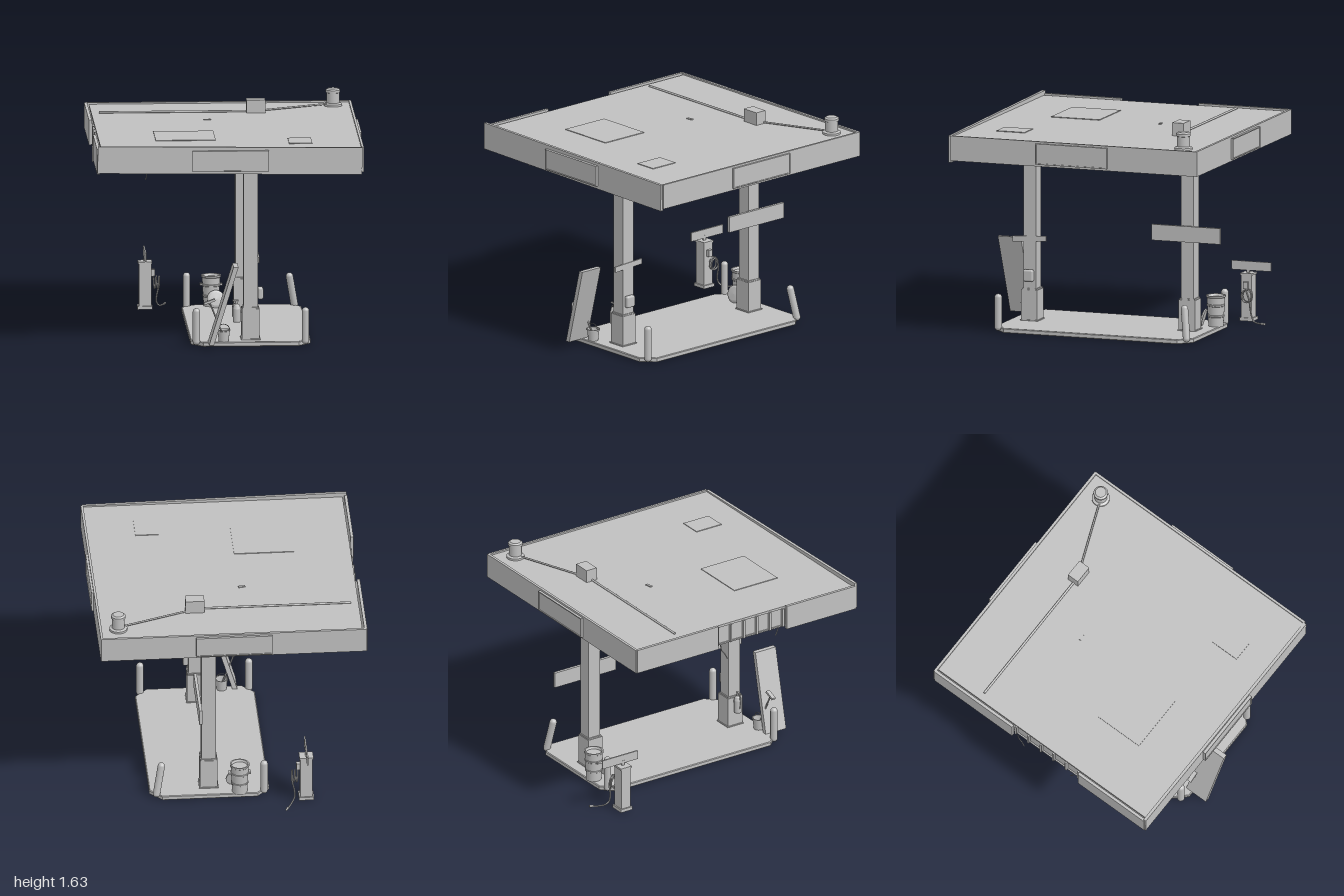
import * as THREE from 'three';
import { RoundedBoxGeometry } from 'three/addons/geometries/RoundedBoxGeometry.js';

export function createModel() {
  const model = new THREE.Group();
  const grey = new THREE.MeshStandardMaterial({ color: 0xc0c0c0 });
  grey.name = 'plain grey';
  const V = (x, y, z) => new THREE.Vector3(x, y, z);

  function add(name, geometry, x = 0, y = 0, z = 0, parent = model) {
    const mesh = new THREE.Mesh(geometry, grey);
    mesh.name = name;
    mesh.position.set(x, y, z);
    parent.add(mesh);
    return mesh;
  }
  // Box given by its limits on each axis
  const block = (name, x0, x1, y0, y1, z0, z1) => add(name,
    new THREE.BoxGeometry(x1 - x0, y1 - y0, z1 - z0), (x0 + x1) / 2, (y0 + y1) / 2, (z0 + z1) / 2);
  // Solid of revolution from [radius, height] pairs; steps stay sharp
  function turned(name, profile, x, y, z, sides = 24) {
    const g = new THREE.Group();
    g.name = name;
    g.position.set(x, y, z);
    for (let i = 0; i < profile.length - 1; i++) {
      const pts = [profile[i], profile[i + 1]].map(p => new THREE.Vector2(...p));
      add(name + 'Section', new THREE.LatheGeometry(pts, sides), 0, 0, 0, g);
    }
    model.add(g);
    return g;
  }
  const tube = (name, points, radius, segments = 24) => add(name,
    new THREE.TubeGeometry(new THREE.CatmullRomCurve3(points.map(p => V(...p))), segments, radius, 6));
  // Straight round rod between two points
  function rod(name, a, b, radius) {
    const p = V(...a), q = V(...b), d = q.clone().sub(p);
    const m = add(name, new THREE.CylinderGeometry(radius, radius, d.length(), 10));
    m.position.copy(p).add(q).multiplyScalar(0.5);
    m.quaternion.setFromUnitVectors(V(0, 1, 0), d.normalize());
    return m;
  }

  // Island slab with cut corners
  const island = new THREE.Shape();
  [[-0.29, -0.68], [-0.2, -0.775], [0.5, -0.775], [0.59, -0.68], [0.59, 0.68], [0.5, 0.775], [-0.2, 0.775], [-0.29, 0.68]]
    .forEach(([x, z], i) => (i ? island.lineTo(x, z) : island.moveTo(x, z)));
  const slab = new THREE.ExtrudeGeometry(island, { depth: 0.024, bevelEnabled: true, bevelSize: 0.006, bevelThickness: 0.005, bevelOffset: -0.006, bevelSegments: 1 });
  slab.rotateX(Math.PI / 2);
  add('islandSlab', slab, 0, 0.034, 0);

  // Columns with plinths
  for (const z of [0.62, -0.615]) {
    block('column', 0.1, 0.205, 0.04, 1.345, z - 0.05, z + 0.05);
    block('plinth', 0.087, 0.216, 0.04, 0.268, z - 0.063, z + 0.063);
    block('plinthCap', 0.092, 0.211, 0.268, 0.278, z - 0.058, z + 0.058);
    block('plinthFoot', 0.08, 0.223, 0.036, 0.046, z - 0.07, z + 0.07);
  }

  // Bollards, one knocked askew
  for (const [x, z] of [[-0.25, 0.735], [-0.25, -0.735], [0.55, 0.735], [0.55, -0.735]]) {
    const bollard = add('bollard', new THREE.CapsuleGeometry(0.027, 0.22, 8, 20), x, 0.15, z);
    if (x > 0 && z < 0) {
      bollard.position.set(0.522, 0.15, -0.722);
      bollard.rotation.set(0.14, 0, 0.17);
    }
  }

  // Canopy: roof deck, ceiling and inner walls
  block('roofDeck', -0.955, 0.955, 1.485, 1.503, -0.965, 0.965);
  block('ceiling', -0.955, 0.955, 1.342, 1.352, -0.965, 0.965);
  block('innerWall', -0.945, -0.935, 1.352, 1.485, -0.95, 0.95);

  // Fascias, with a gap on one side and the front one sagging
  block('backFascia', -0.985, 0.965, 1.33, 1.515, -0.98, -0.96);
  block('leftFascia', 0.95, 0.968, 1.33, 1.515, -0.97, 0.955);
  block('rightFascia', -0.99, -0.968, 1.33, 1.515, -0.97, -0.255);
  block('rightFascia', -0.99, -0.968, 1.33, 1.515, 0.35, 0.96);
  block('frontFascia', -0.985, 0.955, 1.325, 1.525, 0.95, 0.972).rotation.z = -0.0125;
  for (let i = 0; i < 6; i++) {
    const z = -0.24 + i * 0.115;
    block('stud', -0.968, -0.945, 1.345, 1.49, z - 0.007, z + 0.007);
  }

  // Framed sign panels on three sides
  for (const [x, z, turn] of [[-0.012, 0.975, 0], [-0.012, -0.98, Math.PI], [0.965, 0, Math.PI / 2]]) {
    const sign = new THREE.Group();
    sign.name = 'signPanel';
    sign.position.set(x, 1.423, z);
    sign.rotation.y = turn;
    add('signFace', new THREE.BoxGeometry(0.56, 0.155, 0.026), 0, 0, 0, sign);
    for (const s of [-1, 1]) {
      add('signFrame', new THREE.BoxGeometry(0.56, 0.008, 0.014), 0, s * 0.0735, 0.012, sign);
      add('signFrame', new THREE.BoxGeometry(0.008, 0.155, 0.014), s * 0.276, 0, 0.012, sign);
    }
    model.add(sign);
  }

  // Ceiling beams and crossed light fixtures
  for (const z of [0.62, -0.615]) block('ceilingBeam', -0.93, 0.93, 1.325, 1.343, z - 0.02, z + 0.02);
  block('ceilingBeam', 0.13, 0.175, 1.325, 1.343, -0.6, 0.6);
  for (const [x, z] of [[0.65, -0.63], [0.65, 0], [0.65, 0.61], [-0.62, 0.02], [-0.62, -0.6]]) {
    block('lightFixture', x - 0.038, x + 0.038, 1.307, 1.342, z - 0.21, z + 0.21);
    block('fixtureArm', x - 0.15, x + 0.15, 1.325, 1.342, z - 0.04, z + 0.04);
  }

  // Loose wires
  tube('looseWire', [[-0.965, 1.35, -0.22], [-0.965, 1.3, -0.21], [-0.965, 1.26, -0.18], [-0.967, 1.22, -0.16]], 0.004);
  tube('looseWire', [[-0.965, 1.35, 0.29], [-0.965, 1.32, 0.28], [-0.965, 1.29, 0.265]], 0.004);
  tube('looseWire', [[-0.63, 1.345, 0.85], [-0.62, 1.3, 0.855], [-0.63, 1.265, 0.845]], 0.004);

  // Roof patches, junction box, conduit and vent
  block('roofPatch', -0.54, -0.1, 1.5, 1.508, 0.19, 0.57);
  block('roofPatch', 0.43, 0.6, 1.5, 1.508, 0.51, 0.73);
  block('roofScrap', -0.145, -0.095, 1.5, 1.509, -0.29, -0.27).rotation.y = 0.2;
  block('junctionBox', 0.18, 0.318, 1.503, 1.6, -0.63, -0.54);
  rod('conduit', [-0.9, 1.512, -0.58], [0.2, 1.512, -0.58], 0.008);
  rod('conduit', [0.29, 1.512, -0.605], [0.79, 1.52, -0.805], 0.007);
  turned('roofVent', [[0.066, 0], [0.066, 0.018], [0.047, 0.026], [0.047, 0.1], [0.053, 0.103], [0.053, 0.122], [0.04, 0.132], [0, 0.132]],
    0.828, 1.5, -0.822, 24);

  // Boards and switch box on the columns
  block('columnBoard', 0.216, 0.238, 0.702, 0.82, -0.885, -0.348);
  block('boardBracket', 0.2, 0.218, 0.745, 0.78, -0.64, -0.59);
  block('crookedBoard', 0.2, 0.212, 0.627, 0.668, 0.49, 0.752).rotation.x = 0.05;
  add('switchBox', new RoundedBoxGeometry(0.04, 0.088, 0.078, 3, 0.014), 0.225, 0.376, 0.622);

  // Extinguisher hung on the front column
  turned('extinguisher', [[0, 0], [0.026, 0], [0.03, 0.01], [0.03, 0.1], [0.022, 0.125], [0.01, 0.135], [0.01, 0.16], [0, 0.16]], 0.052, 0.16, 0.62, 18);
  block('extinguisherHandle', 0.02, 0.065, 0.315, 0.325, 0.613, 0.627);
  block('extinguisherBracket', 0.07, 0.102, 0.23, 0.25, 0.605, 0.635);
  tube('extinguisherHose', [[0.045, 0.305, 0.62], [0.025, 0.29, 0.62], [0.02, 0.24, 0.62], [0.022, 0.2, 0.62]], 0.004, 14);

  // Leaning board beside the island
  const lean = new THREE.BoxGeometry(0.036, 0.585, 0.18);
  lean.applyMatrix4(new THREE.Matrix4().set(1, 0.305, 0, 0, 0, 1, 0, 0, 0, 0.05, 1, 0, 0, 0, 0, 1));
  add('leaningBoard', lean, -0.058, 0.33, 0.825);

  // Bucket with a squeegee standing in it
  const bucket = turned('bucket', [[0, 0], [0.036, 0], [0.045, 0.08], [0.049, 0.082], [0.049, 0.09], [0.042, 0.09], [0.034, 0.012], [0, 0.012]], -0.05, 0.036, 0.735, 20);
  bucket.children.forEach(m => { m.name = 'bucketSide'; });
  add('bucketHandle', new THREE.TorusGeometry(0.044, 0.003, 6, 20, Math.PI), -0.05, 0.122, 0.735);
  rod('squeegeeStick', [-0.045, 0.06, 0.735], [-0.155, 0.335, 0.77], 0.006);
  block('squeegeeHead', -0.198, -0.112, 0.332, 0.349, 0.755, 0.785).rotation.z = 0.36;

  // Ribbed bin with its lid leaning on it
  turned('bin', [[0, 0], [0.056, 0], [0.058, 0.07], [0.064, 0.074], [0.064, 0.084], [0.06, 0.088], [0.063, 0.15], [0.068, 0.154], [0.068, 0.164],
    [0.064, 0.168], [0.066, 0.215], [0.072, 0.22], [0.072, 0.232], [0.062, 0.232], [0.055, 0.215], [0, 0.215]], -0.07, 0.036, -0.735, 28);
  for (const s of [-1, 1]) block('binHandle', -0.07 + s * 0.074 - 0.008, -0.07 + s * 0.074 + 0.008, 0.19, 0.205, -0.755, -0.715);
  const lid = turned('binLid', [[0, 0], [0.066, 0], [0.066, 0.01], [0.05, 0.018], [0, 0.022]], -0.04, 0.1, -0.655, 28);
  lid.rotation.set(1.3, 0, -0.15);

  // Air pump post with a board on top
  block('pumpBody', -0.598, -0.507, 0.03, 0.35, -0.848, -0.765);
  block('pumpFoot', -0.608, -0.497, 0.008, 0.032, -0.858, -0.755);
  block('pumpCap', -0.604, -0.501, 0.348, 0.362, -0.854, -0.759);
  block('pumpBoardPost', -0.56, -0.545, 0.36, 0.4, -0.815, -0.795);
  block('pumpBoard', -0.557, -0.546, 0.378, 0.445, -0.985, -0.675);
  block('hoseHook', -0.508, -0.48, 0.25, 0.3, -0.825, -0.79);

  // Coiled hose trailing to the ground
  const coil = [];
  for (let i = 0; i <= 24; i++) {
    const a = Math.PI / 2 + i * Math.PI / 6;
    coil.push([-0.49 + i * 0.0018, 0.2 + 0.046 * Math.sin(a), -0.825 + 0.036 * Math.cos(a)]);
  }
  tube('hoseCoil', coil, 0.006, 72);
  tube('hoseTail', [[-0.447, 0.246, -0.825], [-0.445, 0.18, -0.85], [-0.462, 0.1, -0.855], [-0.465, 0.05, -0.865], [-0.445, 0.018, -0.89], [-0.42, 0.01, -0.94], [-0.4, 0.012, -0.985]], 0.006, 36);
  rod('hoseNozzle', [-0.405, 0.012, -0.965], [-0.395, 0.014, -0.993], 0.009);

  // Every profile strip stays visible from both sides
  grey.side = THREE.DoubleSide;
  return model;
}
